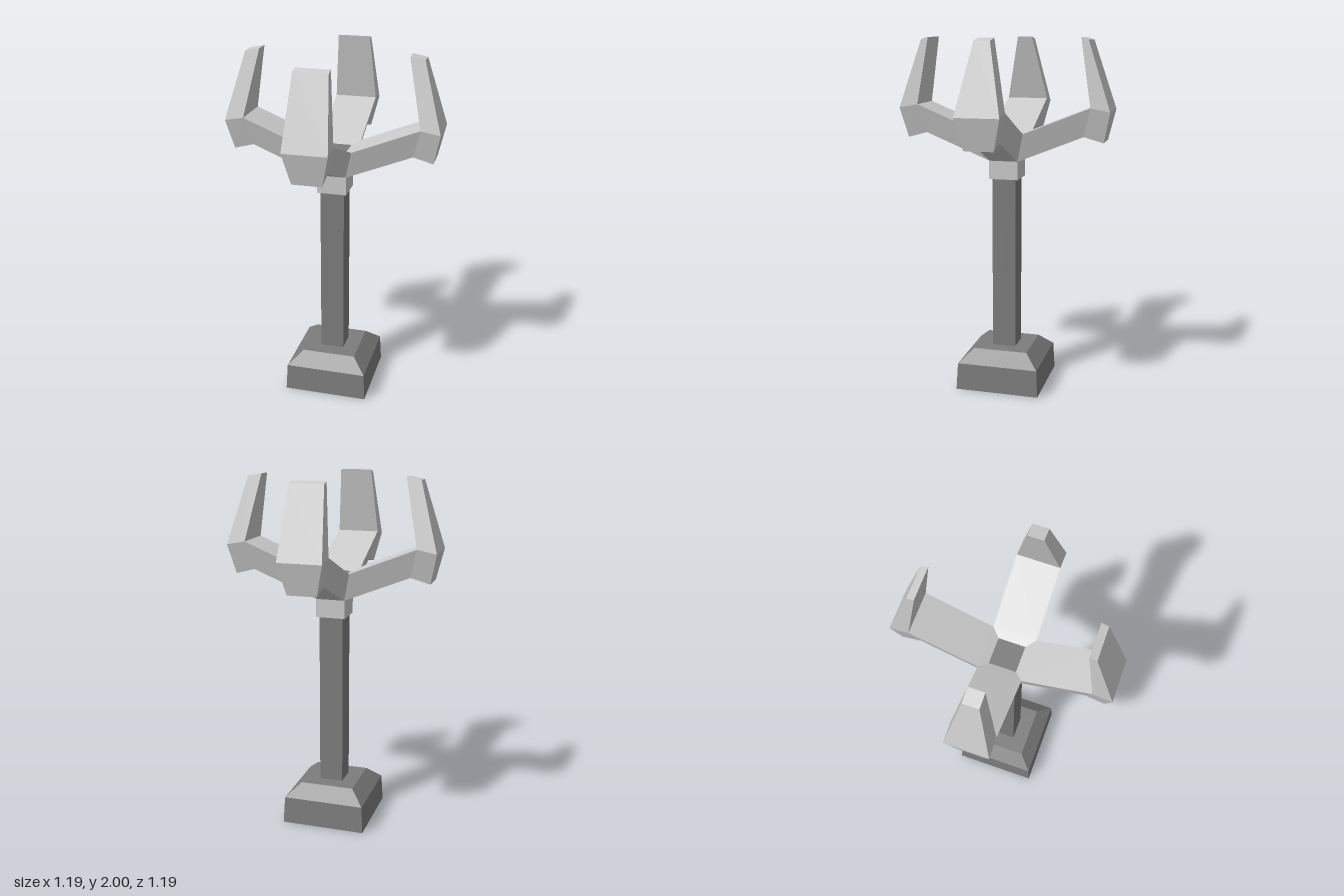
import * as THREE from 'three';

const light = new THREE.MeshStandardMaterial({ color: 0xcccccc, flatShading: true });
const dark = new THREE.MeshStandardMaterial({ color: 0x7d7d7d, flatShading: true });

function add(parent, name, geometry, material) {
  const mesh = new THREE.Mesh(geometry, material);
  mesh.name = name;
  parent.add(mesh);
  return mesh;
}

// Square block tapering from half-width r0 at y0 to r1 at y1
function block(r0, y0, r1, y1, open = false) {
  return new THREE.CylinderGeometry(r1 * Math.SQRT2, r0 * Math.SQRT2, y1 - y0, 4, 1, open)
    .rotateY(Math.PI / 4)
    .translate(0, (y0 + y1) / 2, 0);
}

// Arm reaching along +x: four-sided sections, each an inner and an outer edge [x, y, halfWidth]
function armGeometry(tipInner, tipOuter) {
  const elbow = [0.49, 1.63, 0.12];
  const sections = [
    [[0.075, 1.46, 0.075], [0.08, 1.32, 0.08]],
    [[0.12, 1.48, 0.12], [0.08, 1.32, 0.08]],
    [elbow, [0.45, 1.47, 0.08]],
    [elbow, [0.56, 1.44, 0.08]],
    [elbow, [0.597, 1.61, 0.12]],
    [tipInner, tipOuter],
  ];
  const rings = sections.map(([n, o]) => [
    new THREE.Vector3(n[0], n[1], n[2]),
    new THREE.Vector3(n[0], n[1], -n[2]),
    new THREE.Vector3(o[0], o[1], -o[2]),
    new THREE.Vector3(o[0], o[1], o[2]),
  ]);
  const points = [];
  const tri = (a, b, c) => {
    if (new THREE.Triangle(a, b, c).getArea() > 1e-6) points.push(a, b, c);
  };
  const quad = (a, b, c, d) => { tri(a, b, c); tri(a, c, d); };
  for (let s = 0; s < rings.length - 1; s++) {
    for (let i = 0; i < 4; i++) {
      const j = (i + 1) % 4;
      quad(rings[s][i], rings[s + 1][i], rings[s + 1][j], rings[s][j]);
    }
  }
  const tip = rings[rings.length - 1];
  quad(tip[3], tip[2], tip[1], tip[0]);
  const geometry = new THREE.BufferGeometry().setFromPoints(points);
  geometry.computeVertexNormals();
  return geometry;
}

export function createModel() {
  const model = new THREE.Group();
  model.name = 'clawPost';

  // Foot and post
  const base = new THREE.Group();
  base.name = 'base';
  model.add(base);
  add(base, 'baseBlock', block(0.24, 0, 0.232, 0.155), dark);
  add(base, 'baseBevel', block(0.232, 0.155, 0.155, 0.228), dark);
  add(model, 'post', block(0.068, 0.22, 0.068, 1.4), dark);

  // Socket under the claw and the floor between the arms
  add(model, 'collar', block(0.083, 1.217, 0.083, 1.322), light);
  add(model, 'hubFloor', block(0.075, 1.4, 0.075, 1.46), dark);

  // Four arms: narrow tips at the sides, wide tips front and back
  const narrow = armGeometry([0.41, 2, 0.043], [0.49, 1.985, 0.043]);
  const wide = armGeometry([0.43, 2, 0.092], [0.47, 1.988, 0.092]);
  ['leftArm', 'backArm', 'rightArm', 'frontArm'].forEach((name, i) => {
    add(model, name, i % 2 ? wide : narrow, light).rotation.y = i * Math.PI / 2;
  });
  return model;
}
